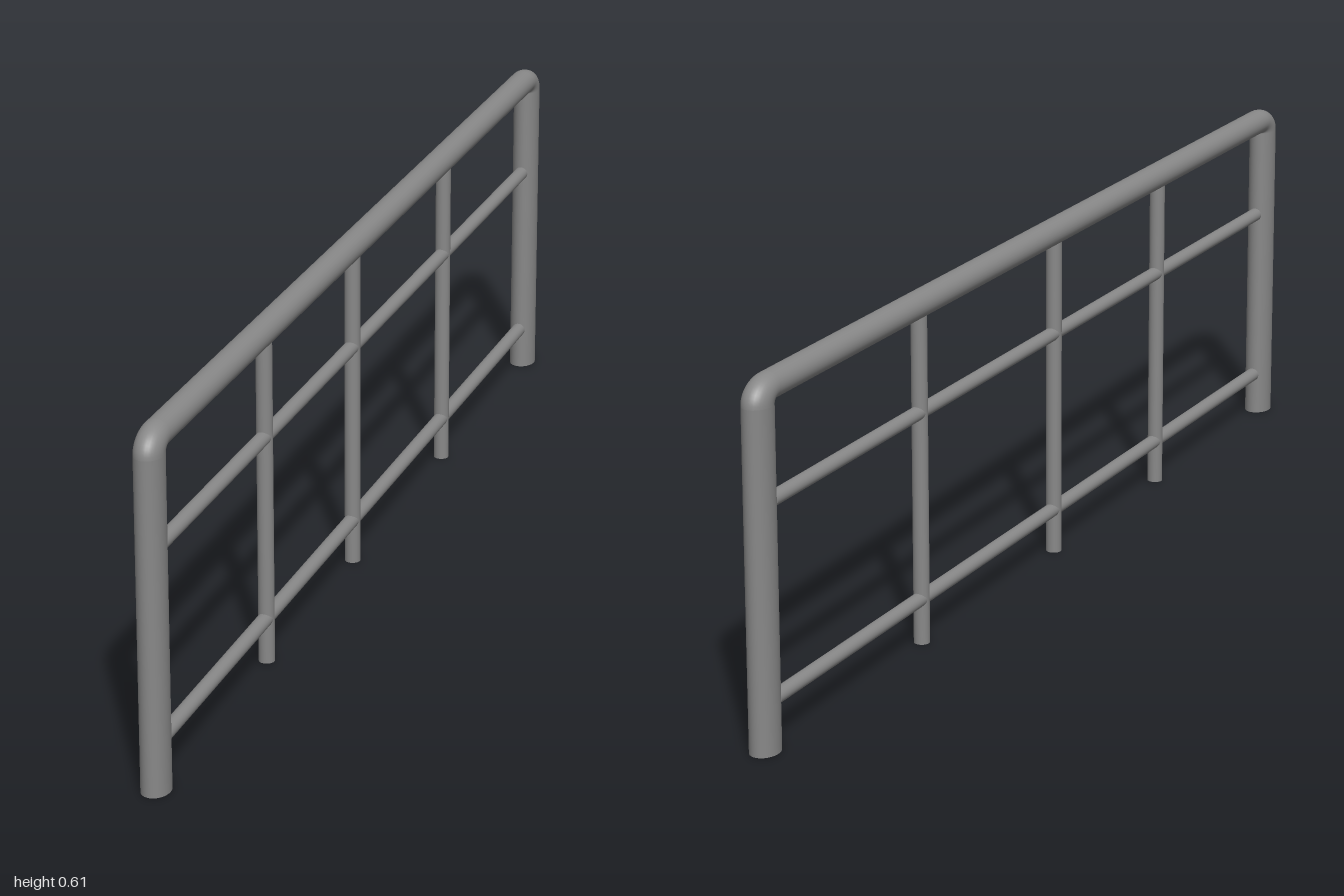
import * as THREE from 'three';

const SIDES = 32;
const INNER_Z = 0.938, INNER_Y = 0.565; // inside corner where post and top rail meet
const HALF_X = 0.024, POST_DEPTH = 0.062, RAIL_HEIGHT = 0.045;

// Quarter bend: cross-sections fanned about the inside corner
function elbowGeometry(steps = 12) {
  const pos = [], idx = [];
  for (let i = 0; i <= steps; i++) {
    const a = (i / steps) * Math.PI / 2;
    for (let j = 0; j < SIDES; j++) {
      const t = (j / SIDES) * Math.PI * 2;
      const r = 0.5 + 0.5 * Math.cos(t);
      pos.push(HALF_X * Math.sin(t), RAIL_HEIGHT * Math.sin(a) * r, POST_DEPTH * Math.cos(a) * r);
      if (i < steps) {
        const p = i * SIDES + j, q = i * SIDES + (j + 1) % SIDES;
        idx.push(p, q, p + SIDES, q, q + SIDES, p + SIDES);
      }
    }
  }
  const g = new THREE.BufferGeometry();
  g.setAttribute('position', new THREE.Float32BufferAttribute(pos, 3));
  g.setIndex(idx);
  g.computeVertexNormals();
  return g;
}

export function createModel() {
  const group = new THREE.Group();
  group.name = 'railing';
  const steel = new THREE.MeshStandardMaterial({ color: 0x888888 });
  steel.name = 'grey steel';

  const add = (name, geometry, y, z) => {
    const mesh = new THREE.Mesh(geometry, steel);
    mesh.name = name;
    mesh.position.set(0, y, z);
    group.add(mesh);
    return mesh;
  };
  // Upright oval tube standing on the ground
  const upright = (name, rx, rz, height, z) =>
    add(name, new THREE.CylinderGeometry(1, 1, height, SIDES).scale(rx, 1, rz), height / 2, z);
  // Oval tube lying along z
  const rail = (name, rx, ry, y) =>
    add(name, new THREE.CylinderGeometry(1, 1, INNER_Z * 2, SIDES).rotateX(Math.PI / 2).scale(rx, ry, 1), y, 0);

  // End posts and their bends
  const elbow = elbowGeometry();
  for (const s of [1, -1]) {
    const side = s > 0 ? 'front' : 'back';
    upright(side + 'Post', HALF_X, POST_DEPTH / 2, INNER_Y, s * (INNER_Z + POST_DEPTH / 2));
    const bend = add(side + 'Bend', elbow, INNER_Y, s * INNER_Z);
    if (s < 0) bend.rotation.y = Math.PI;
  }

  // Handrail and two thin rails
  rail('topRail', HALF_X, RAIL_HEIGHT / 2, INNER_Y + RAIL_HEIGHT / 2);
  rail('middleRail', 0.013, 0.012, 0.403);
  rail('lowerRail', 0.013, 0.012, 0.078);

  // Unevenly spaced balusters
  [0.48, 0.05, -0.45].forEach((z, i) => upright('baluster' + (i + 1), 0.0137, 0.0137, 0.58, z));

  return group;
}
